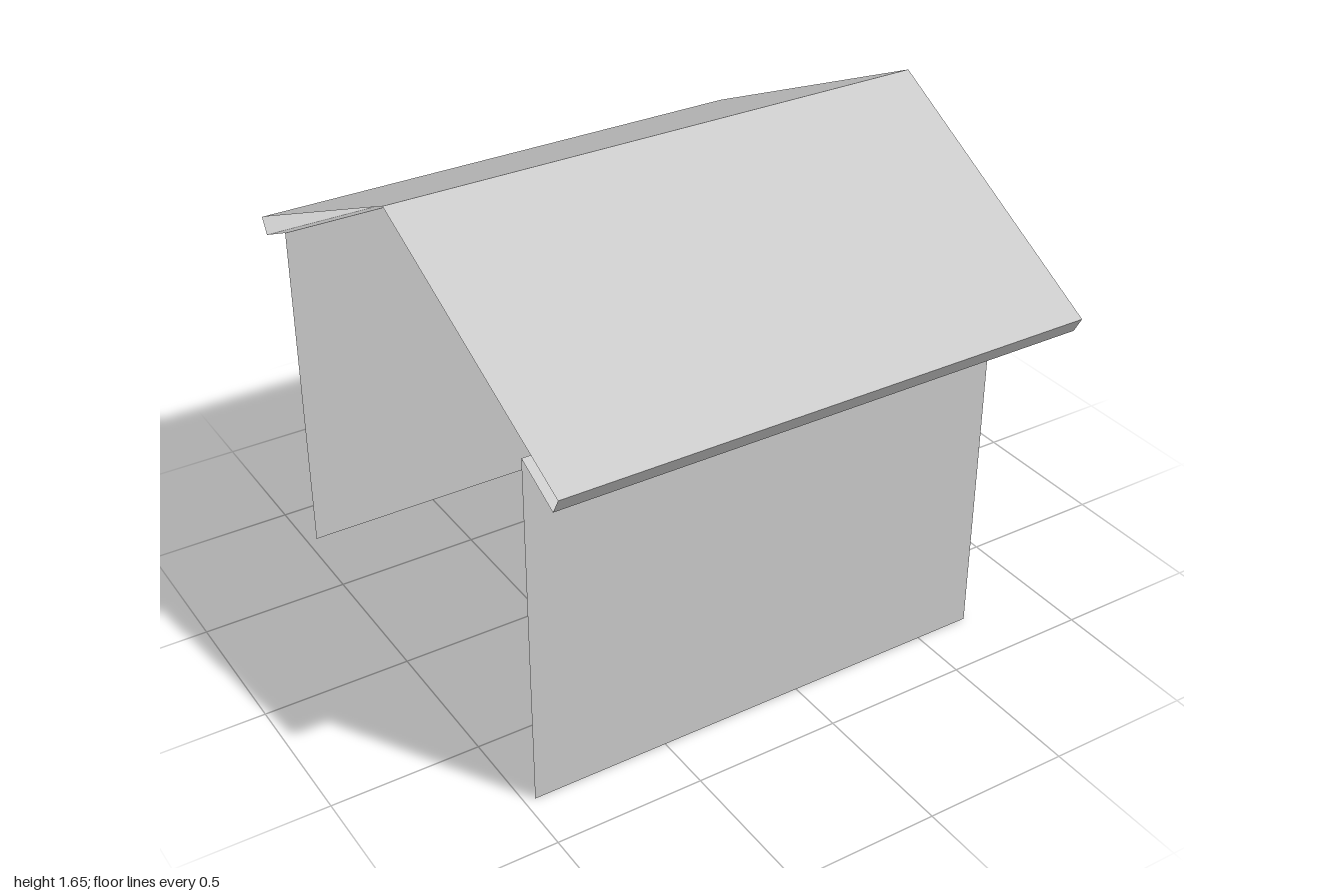
import * as THREE from 'three';

const BACK = -0.965, FRONT = 0.695, RECESS = 0.625;
const HALF = 0.8, WALL_TOP = 1.225, APEX = 1.6;

// Flat-faced strip of quads between two equally long lists of [x, y, z] points.
function loft(a, b) {
  const p = [];
  for (let i = 0; i < a.length - 1; i++) {
    p.push(...a[i], ...a[i + 1], ...b[i + 1], ...a[i], ...b[i + 1], ...b[i]);
  }
  const g = new THREE.BufferGeometry();
  g.setAttribute('position', new THREE.Float32BufferAttribute(p, 3));
  g.computeVertexNormals();
  return g;
}

// Front edge of the roof slants forward towards the ridge.
const slantX = (z, halfWidth) => 0.96 - 0.075 * Math.abs(z) / halfWidth;
const atX = (section, x) => section.map(([z, y]) => [x, y, z]);
const atSlant = (section, halfWidth) => section.map(([z, y]) => [slantX(z, halfWidth), y, z]);

export function createModel() {
  const group = new THREE.Group();
  group.name = 'kennel';
  const grey = new THREE.MeshStandardMaterial({ color: 0xcccccc, side: THREE.DoubleSide });
  grey.name = 'plain grey';

  const add = (name, geometry) => {
    const mesh = new THREE.Mesh(geometry, grey);
    mesh.name = name;
    group.add(mesh);
    return mesh;
  };

  // Outlines as [across, y]; symmetric, so across and z are interchangeable
  const gable = [[-HALF, 0], [HALF, 0], [HALF, WALL_TOP], [0, APEX], [-HALF, WALL_TOP]];
  const door = [[-0.4, 0.11], [0.4, 0.11], [0.4, 0.915], [0.255, 1.13],
    [0, 1.22], [-0.255, 1.13], [-0.4, 0.915]];
  const toShape = (pts) => new THREE.Shape(pts.map(([u, v]) => new THREE.Vector2(u, v)));
  const facingX = (shape, x) => new THREE.ShapeGeometry(shape).rotateY(Math.PI / 2).translate(x, 0, 0);

  // Gable wall with doorway, and the recessed door panel
  const wallShape = toShape(gable);
  wallShape.holes.push(new THREE.Path(door.map(([u, v]) => new THREE.Vector2(u, v))));
  add('gableWall', facingX(wallShape, FRONT));
  add('doorPanel', facingX(toShape(door), RECESS));
  const rim = [...door, door[0]].map(([u, v]) => [-u, v]);
  add('doorReveal', loft(atX(rim, FRONT), atX(rim, RECESS)));

  // Side walls; the back end and floor are open
  const leftSide = [[HALF, WALL_TOP], [HALF, 0]];
  const rightSide = [[-HALF, 0], [-HALF, WALL_TOP]];
  add('leftWall', loft(atX(leftSide, BACK), atX(leftSide, FRONT)));
  add('rightWall', loft(atX(rightSide, BACK), atX(rightSide, FRONT)));

  // Roof slopes with their eave edges
  const top = [[-1, 1.2], [0, 1.655], [1, 1.2]];
  const under = [[-0.97, 1.145], [0, APEX], [0.97, 1.145]];
  const skin = [under[0], ...top, under[2]];
  const topFront = atSlant(top, 1);
  const underFront = atSlant(under, 0.97);
  add('roof', loft(atX(skin, BACK), [underFront[0], ...topFront, underFront[2]]));

  // Slanted front edge of the roof
  add('roofFrontEdge', loft(topFront, underFront));

  // Undersides of the overhangs
  const wallLine = [[-HALF, WALL_TOP], [0, APEX], [HALF, WALL_TOP]];
  add('frontSoffit', loft(atSlant(wallLine, 0.97), atX(wallLine, FRONT)));
  const soffits = { rightSoffit: [under[0], wallLine[0]], leftSoffit: [wallLine[2], under[2]] };
  for (const [name, line] of Object.entries(soffits)) {
    add(name, loft(atSlant(line, 0.97), atX(line, BACK)));
  }
  return group;
}
